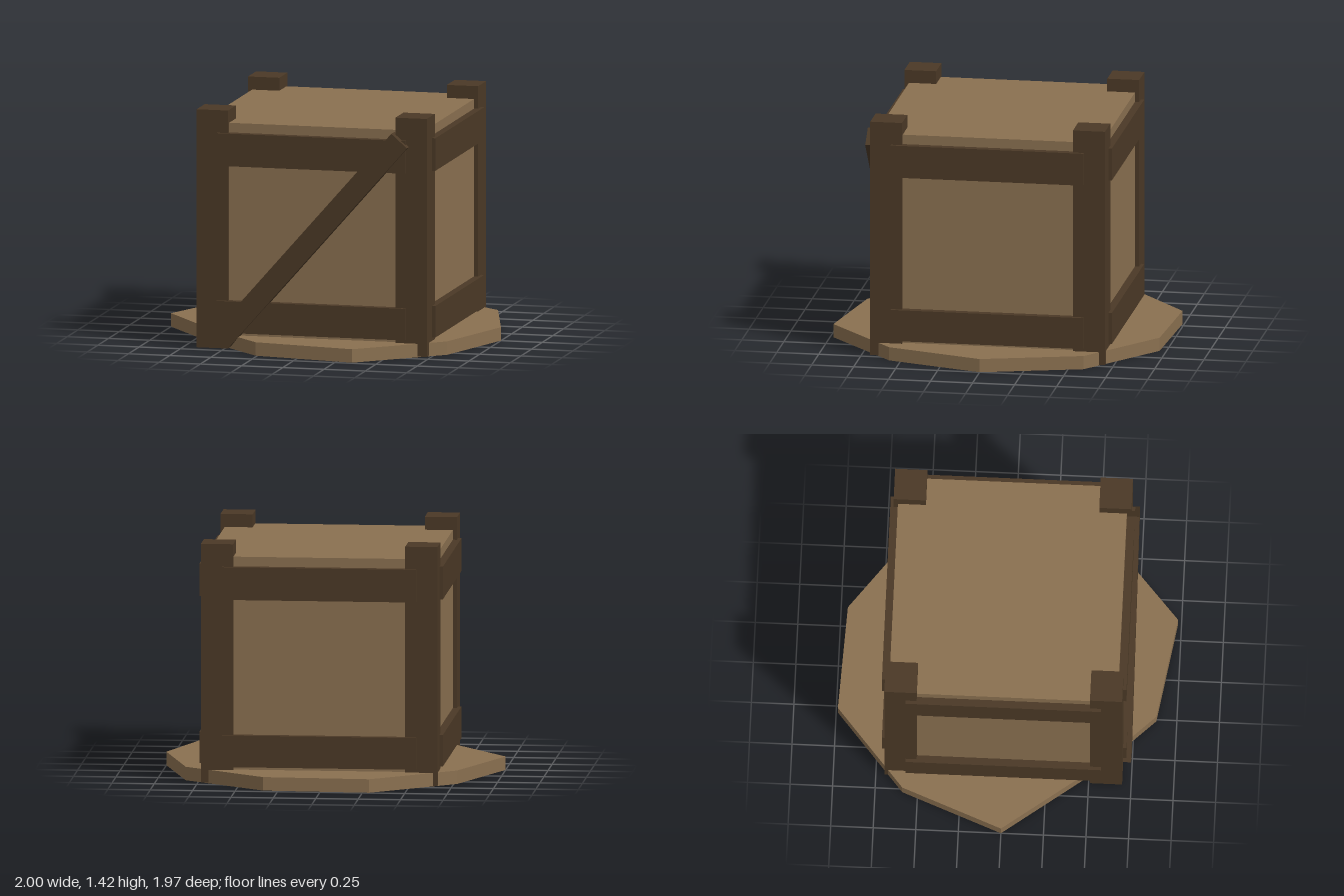
import * as THREE from 'three';

export function createModel() {
  const crate = new THREE.Group();
  crate.name = 'crate';
  const plank = new THREE.MeshStandardMaterial({ name: 'light wood', color: 0x8a7050 });
  const frame = new THREE.MeshStandardMaterial({ name: 'dark wood', color: 0x4b3926 });

  // Box given by its minimum and maximum on each axis
  function box(name, material, [x0, x1], [y0, y1], [z0, z1]) {
    const mesh = new THREE.Mesh(new THREE.BoxGeometry(x1 - x0, y1 - y0, z1 - z0), material);
    mesh.position.set((x0 + x1) / 2, (y0 + y1) / 2, (z0 + z1) / 2);
    mesh.name = name;
    crate.add(mesh);
    return mesh;
  }

  // Irregular ten-sided ground slab, outline as (x, z)
  const outline = [
    [-1, 0], [-0.77, -0.59], [-0.29, -0.99], [0.34, -0.96], [0.83, -0.59],
    [1, 0], [0.82, 0.57], [0.35, 0.98], [-0.26, 0.88], [-0.6, 0.53],
  ];
  const shape = new THREE.Shape(outline.map(([x, z]) => new THREE.Vector2(x, -z)));
  const slab = new THREE.ExtrudeGeometry(shape, { depth: 0.08, bevelEnabled: false });
  slab.rotateX(-Math.PI / 2);
  const base = new THREE.Mesh(slab, plank);
  base.name = 'base';
  crate.add(base);

  // Crate body
  box('body', plank, [-0.64, 0.705], [0.01, 1.343], [-0.675, 0.67]);

  // Corner posts
  for (const x of [[-0.665, -0.475], [0.54, 0.73]]) {
    for (const z of [[-0.7, -0.51], [0.508, 0.697]]) {
      box('cornerPost', frame, x, [0.004, 1.42], z);
    }
  }

  // Lower and upper rails on all four sides
  for (const y of [[0.1, 0.288], [1.092, 1.286]]) {
    box('frontRail', frame, [-0.54, 0.605], y, [0.6, 0.717]);
    box('backRail', frame, [-0.54, 0.605], y, [-0.72, -0.6]);
    box('rightRail', frame, [-0.685, -0.57], y, [-0.575, 0.573]);
    box('leftRail', frame, [0.63, 0.75], y, [-0.575, 0.573]);
  }

  // Diagonal brace across the front
  const brace = box('diagonalBrace', frame, [-0.79, 0.854], [0.609, 0.735], [0.672, 0.745]);
  brace.rotation.z = Math.atan2(1.235, 1.085);
  return crate;
}
